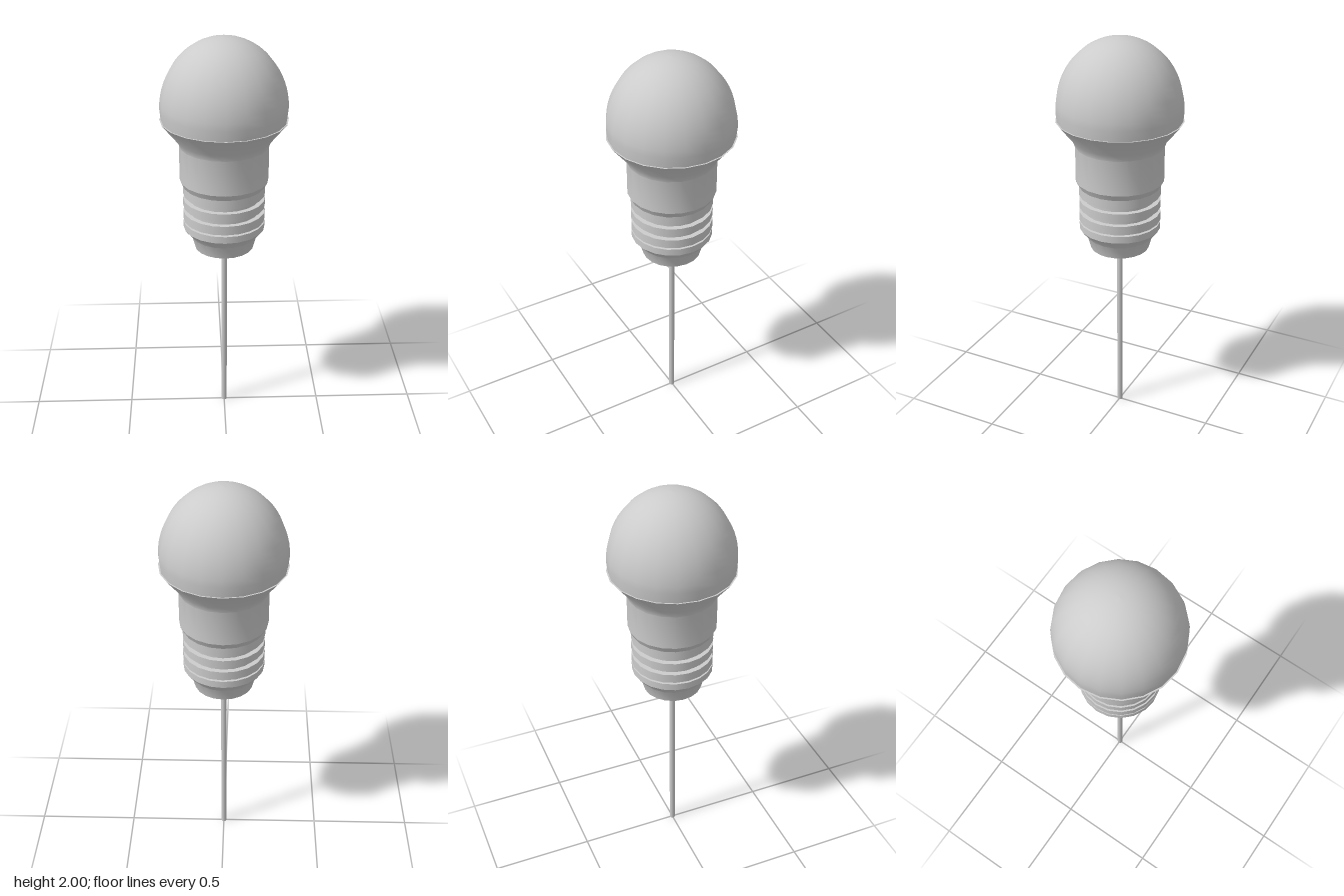
import * as THREE from 'three';
import { toCreasedNormals } from 'three/addons/utils/BufferGeometryUtils.js';

const SIDES = 20;

export function createModel() {
  const group = new THREE.Group();
  const material = new THREE.MeshStandardMaterial({ color: 0xcccccc });

  const add = (name, geometry) => {
    const mesh = new THREE.Mesh(geometry, material);
    mesh.name = name;
    group.add(mesh);
  };
  // Profiles run from bottom to top as [radius, height]
  const lathe = (points) =>
    new THREE.LatheGeometry(points.map(([r, y]) => new THREE.Vector2(r, y)), SIDES);
  const creased = (points) => toCreasedNormals(lathe(points), 0.45);

  // Rounded glass dome, slightly taller than a half sphere
  const dome = [[0.298, 1.61]];
  const steps = 16;
  for (let i = 0; i <= steps; i++) {
    const a = (i / steps) * Math.PI / 2;
    dome.push([Math.max(0, 0.303 * Math.cos(a)), 1.66 + 0.34 * Math.sin(a)]);
  }
  add('dome', lathe(dome));

  // Housing: neck sleeve with a flared collar that holds the dome
  add('housing', creased([
    [0, 1.275], [0.2, 1.275], [0.215, 1.305], [0.215, 1.48],
    [0.227, 1.512], [0.305, 1.61], [0.295, 1.61],
  ]));

  // Screw base: core with raised thread rings
  add('threadCore', new THREE.CylinderGeometry(0.175, 0.175, 0.24, SIDES, 1, true).translate(0, 1.16, 0));
  [[1.23, 1.276], [1.165, 1.205], [1.095, 1.14], [1.05, 1.085]].forEach(([low, high], i) => {
    const ring = new THREE.CylinderGeometry(0.2, 0.2, high - low, SIDES);
    add(`threadRing${i + 1}`, ring.translate(0, (low + high) / 2, 0));
  });

  // Tapered cap closing the base
  add('baseCap', creased([
    [0, 0.94], [0.145, 0.94], [0.163, 1.005], [0.2, 1.05], [0, 1.05],
  ]));

  // Thin stick
  add('stick', new THREE.CylinderGeometry(0.014, 0.014, 0.96, 12).translate(0, 0.48, 0));

  return group;
}
